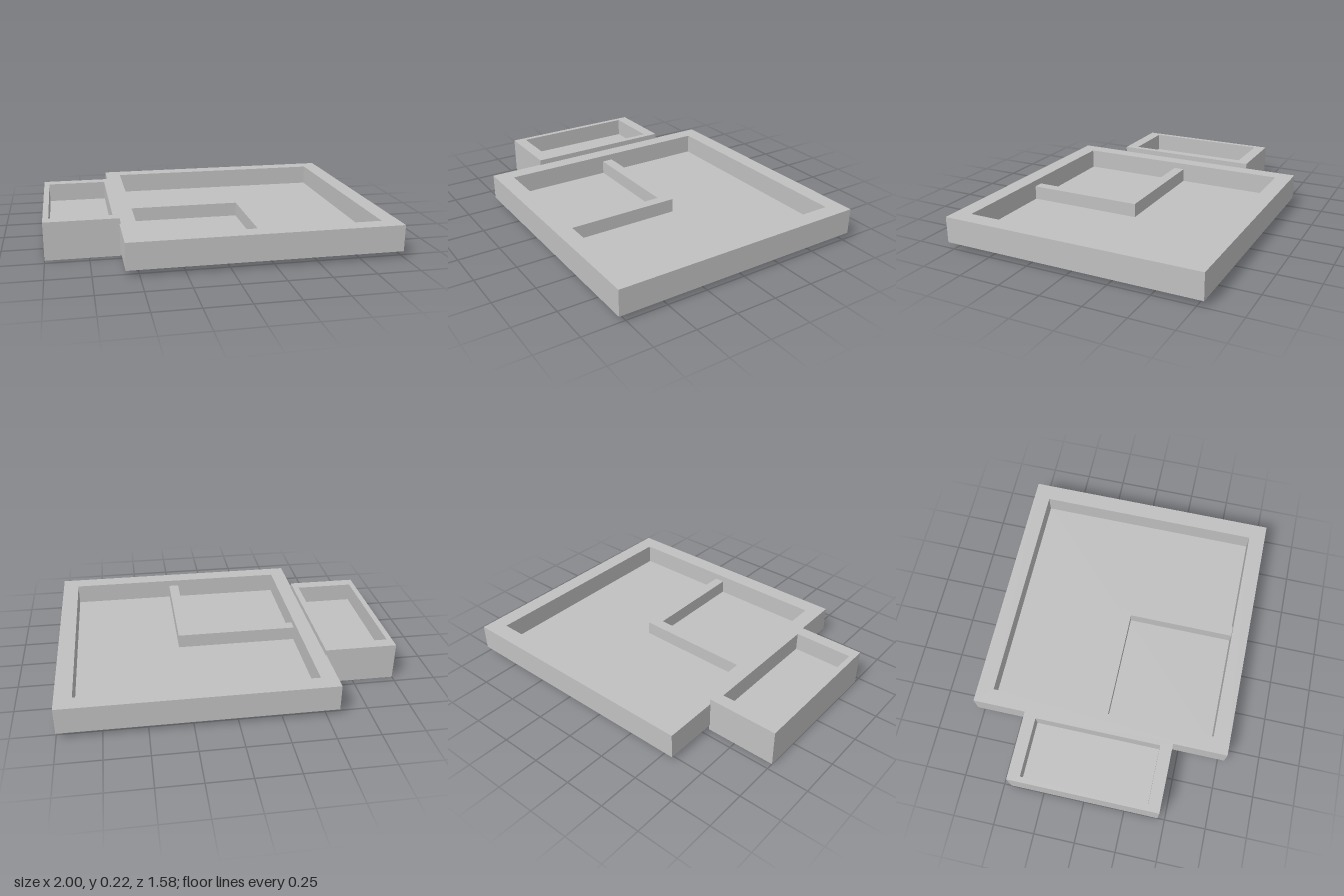
import * as THREE from 'three';

const grey = new THREE.MeshStandardMaterial({ color: 0xc0c0c0 });
grey.name = 'plain grey';

// Upright extrusion of a plan outline given as [x, z] corners
function slab(name, corners, y0, y1, hole) {
  const toPoints = (list) => list.map(([x, z]) => new THREE.Vector2(x, -z));
  const shape = new THREE.Shape(toPoints(corners));
  if (hole) shape.holes.push(new THREE.Path(toPoints(hole)));
  const geometry = new THREE.ExtrudeGeometry(shape, { depth: y1 - y0, bevelEnabled: false });
  geometry.rotateX(-Math.PI / 2).translate(0, y0, 0);
  const mesh = new THREE.Mesh(geometry, grey);
  mesh.name = name;
  return mesh;
}

// Rectangle from x0 to x1, symmetric about z = 0
const rect = (x0, x1, z) => [[x0, z], [x1, z], [x1, -z], [x0, -z]];

// Open tray: rim walls around a raised floor
function tray(name, outer, inner, bottom, floor, top) {
  const group = new THREE.Group();
  group.name = name;
  group.add(slab('rim', outer, bottom, top, inner));
  group.add(slab('floor', inner, bottom, floor));
  return group;
}

export function createModel() {
  const model = new THREE.Group();
  model.name = 'twinTray';

  const mainTray = tray('mainTray', rect(-0.575, 1, 0.788), rect(-0.479, 0.9, 0.687), 0.035, 0.067, 0.191);
  // Low L-shaped wall closing off the front corner
  mainTray.add(slab('divider', [
    [-0.479, -0.035], [0.263, -0.035], [0.263, 0.687],
    [0.2, 0.687], [0.2, 0.033], [-0.479, 0.033],
  ], 0.067, 0.152));
  model.add(mainTray);

  // Deeper side tray
  model.add(tray('sideTray', rect(-1, -0.57, 0.457), rect(-0.967, -0.608, 0.383), 0, 0.11, 0.224));
  return model;
}
